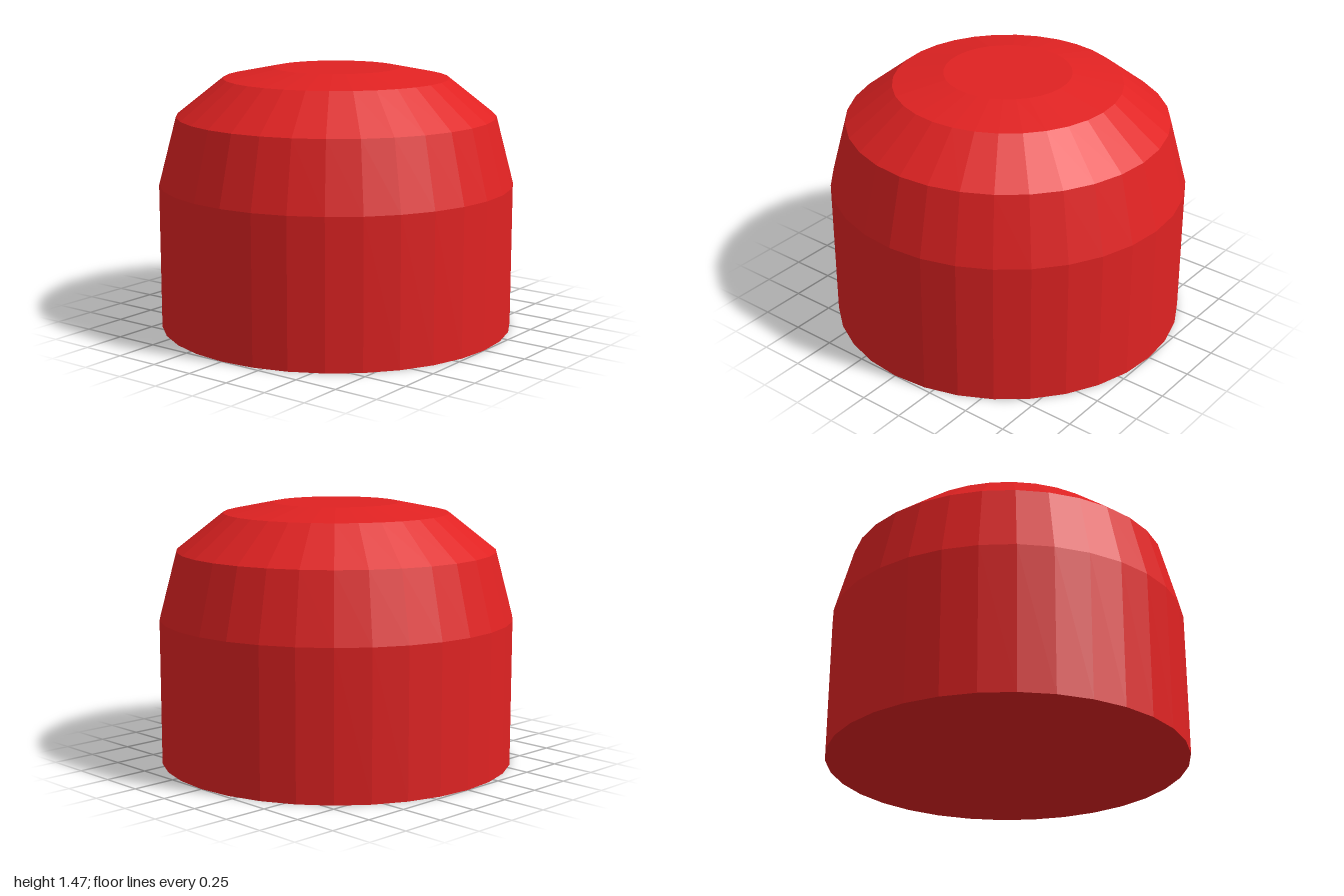
import * as THREE from 'three';

const SIDES = 32;

export function createModel() {
  const model = new THREE.Group();
  model.name = 'domedCap';
  const red = new THREE.MeshStandardMaterial({ color: 0xe02222, flatShading: true });

  // Turns a [radius, height] profile, listed from bottom to top, into a faceted part
  const addTurned = (name, profile) => {
    const points = profile.map(([r, y]) => new THREE.Vector2(r, y));
    const mesh = new THREE.Mesh(new THREE.LatheGeometry(points, SIDES), red);
    mesh.name = name;
    model.add(mesh);
  };

  // Flat base, straight wall and tapered shoulder
  addTurned('body', [[0, 0], [1, 0], [1, 0.82], [0.9, 1.2]]);

  // Rounded crown with a flat top
  addTurned('crown', [[0.9, 1.2], [0.635, 1.41], [0.353, 1.467], [0, 1.467]]);

  return model;
}
